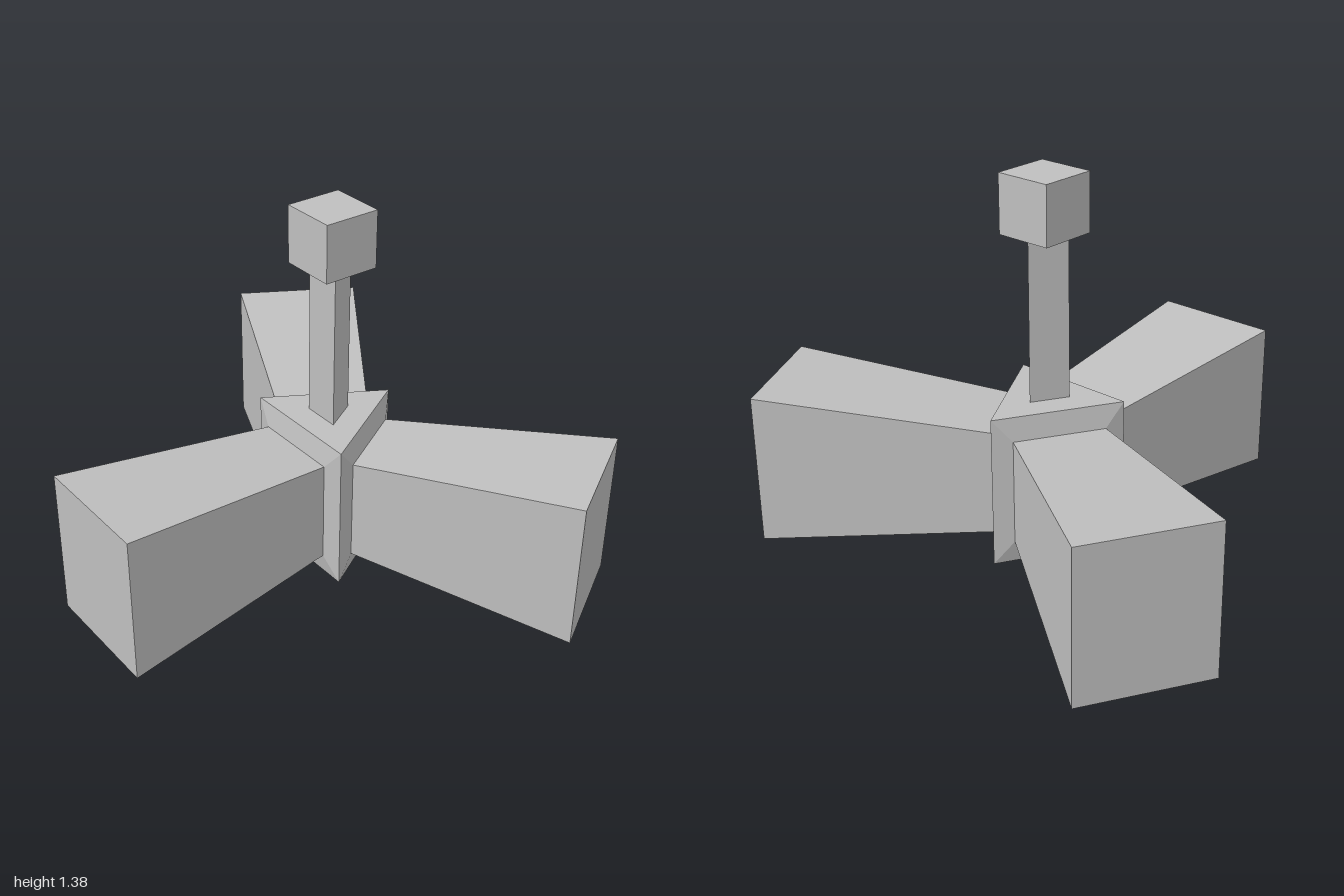
import * as THREE from 'three';

const CENTER_Z = -0.148; // the three-way axis sits behind the origin
const HUB_HEIGHT = 0.565;

// Flat-faced loft along +z through rectangles [z, halfWidth, bottom, top], capped at the far end
function loftRects(sections) {
  const rings = sections.map(([z, w, y0, y1]) => [[-w, y0, z], [w, y0, z], [w, y1, z], [-w, y1, z]]);
  const pos = [];
  const quad = (a, b, c, d) => pos.push(...a, ...b, ...c, ...a, ...c, ...d);
  for (let s = 0; s < rings.length - 1; s++) {
    for (let i = 0; i < 4; i++) {
      const j = (i + 1) % 4;
      quad(rings[s][i], rings[s][j], rings[s + 1][j], rings[s + 1][i]);
    }
  }
  quad(...rings[rings.length - 1]);
  const geo = new THREE.BufferGeometry();
  geo.setAttribute('position', new THREE.Float32BufferAttribute(pos, 3));
  geo.computeVertexNormals();
  return geo;
}

// Flat-faced triangular prism with its flat side to the front
function triPrism(radius, height) {
  const geo = new THREE.CylinderGeometry(radius, radius, height, 3).rotateY(Math.PI).toNonIndexed();
  geo.computeVertexNormals();
  return geo;
}

export function createModel() {
  const group = new THREE.Group();
  const grey = new THREE.MeshStandardMaterial({ color: 0xbfbfbf });
  grey.name = 'plain grey';

  const add = (name, geo, y) => {
    const mesh = new THREE.Mesh(geo, grey);
    mesh.name = name;
    mesh.position.set(0, y, CENTER_Z);
    group.add(mesh);
    return mesh;
  };

  // Triangular core
  add('hub', triPrism(0.28, HUB_HEIGHT), HUB_HEIGHT / 2);

  // Three flared arms, each starting with a bevel on one hub side
  const armGeo = loftRects([
    [0.14, 0.242, 0, HUB_HEIGHT],
    [0.158, 0.169, 0.087, 0.48],
    [1.01, 0.242, 0, HUB_HEIGHT],
  ]);
  ['frontArm', 'leftArm', 'rightArm'].forEach((name, i) => {
    add(name, armGeo, 0).rotation.y = (i * Math.PI * 2) / 3;
  });

  // Post and block on top
  add('post', triPrism(0.084, 0.6), HUB_HEIGHT + 0.3);
  add('topBlock', new THREE.BoxGeometry(0.216, 0.216, 0.216), 1.272);

  return group;
}
